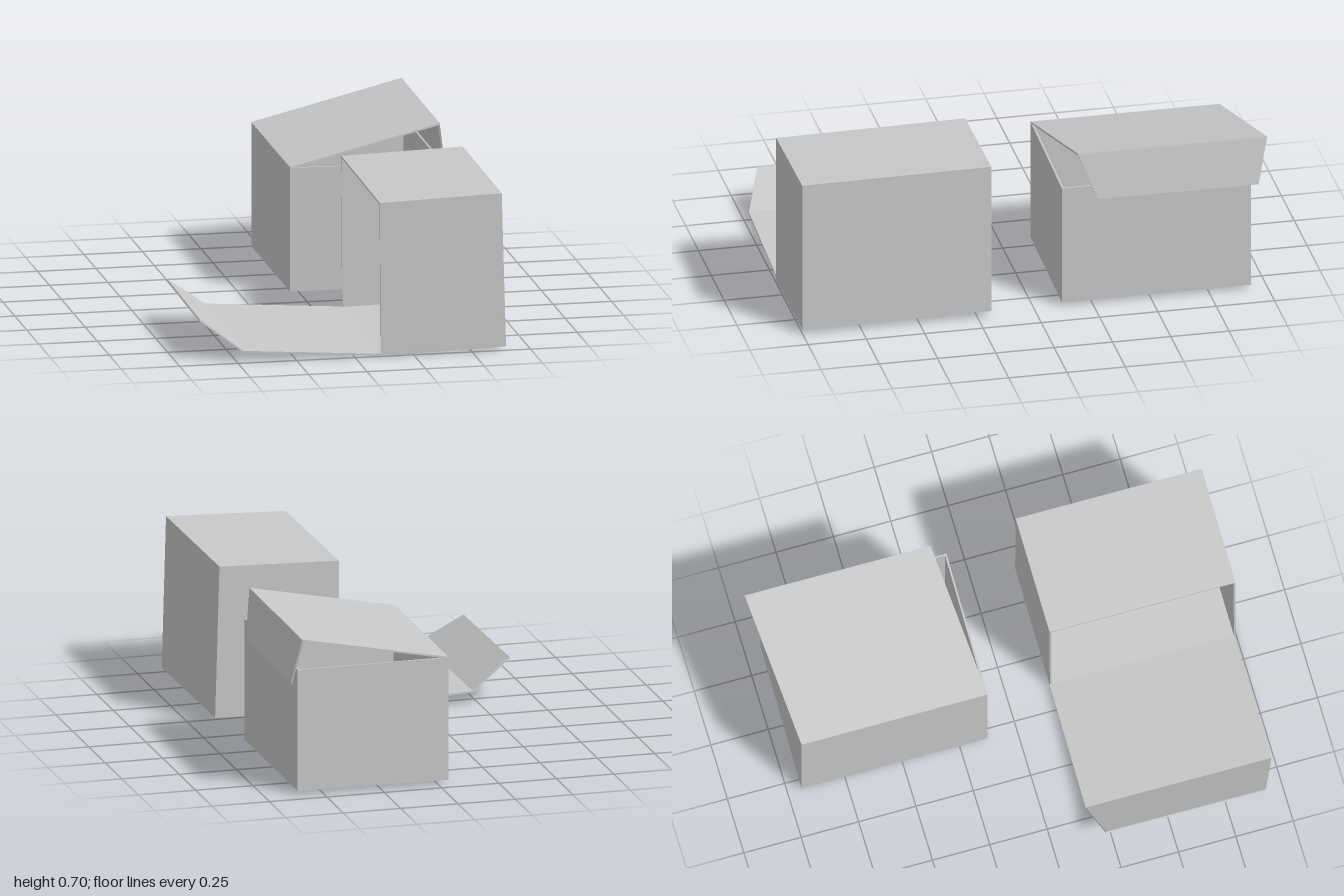
import * as THREE from 'three';

const cardboard = new THREE.MeshStandardMaterial({ color: 0xc8c8c8 });
cardboard.name = 'plain grey card';
const THICKNESS = 0.008;

// A thin sheet: four corners, counter-clockwise seen from outside, thickened inwards
function panel(name, corners) {
  const q = corners.map(c => new THREE.Vector3(...c));
  const normal = q[2].clone().sub(q[0]).cross(q[3].clone().sub(q[1])).normalize();
  const r = q.map(p => p.clone().addScaledVector(normal, -THICKNESS));
  const faces = [q, [...r].reverse()];
  for (let i = 0; i < 4; i++) {
    const j = (i + 1) % 4;
    faces.push([r[i], r[j], q[j], q[i]]);
  }
  const points = faces.flatMap(([a, b, c, d]) => [a, b, c, a, c, d]);
  const geometry = new THREE.BufferGeometry().setFromPoints(points);
  geometry.computeVertexNormals();
  const mesh = new THREE.Mesh(geometry, cardboard);
  mesh.name = name;
  return mesh;
}

// Corners run front left, front right, back right, back left: bottom first, then top
const SIDES = {
  frontWall: [0, 1, 5, 4],
  rightWall: [1, 2, 6, 5],
  backWall: [2, 3, 7, 6],
  leftWall: [3, 0, 4, 7],
  topWall: [4, 5, 6, 7],
  bottomWall: [3, 2, 1, 0],
};

function openBox(name, corners, openSide, flaps) {
  const box = new THREE.Group();
  box.name = name;
  for (const [side, ids] of Object.entries(SIDES)) {
    if (side !== openSide) box.add(panel(side, ids.map(i => corners[i])));
  }
  for (const [flap, quad] of Object.entries(flaps)) box.add(panel(flap, quad));
  return box;
}

export function createModel() {
  const model = new THREE.Group();
  model.name = 'openBoxes';

  // Box lying on its side, lid spread out over the ground
  const hinge = [[0.11, 0.013, 0.185], [0.11, 0.003, 0.99]];
  const fold = [[-0.475, 0.052, 0.175], [-0.475, 0.043, 0.985]];
  const tip = [[-0.648, 0.178, 0.215], [-0.648, 0.168, 0.91]];
  model.add(openBox('lyingBox', [
    [0.11, 0.002, 0.997], [0.645, 0.02, 1.0], [0.645, 0.027, 0.19], [0.11, 0.013, 0.187],
    [0.107, 0.662, 0.995], [0.627, 0.68, 0.998], [0.627, 0.686, 0.187], [0.107, 0.671, 0.185],
  ], 'leftWall', {
    lid: [fold[0], hinge[0], hinge[1], fold[1]],
    lidFlap: [tip[0], fold[0], fold[1], tip[1]],
  }));

  // Upright box with a half-closed, slightly twisted lid
  const free = [[0.605, 0.697, -0.19], [0.608, 0.697, -1.0]];
  model.add(openBox('uprightBox', [
    [-0.047, 0.017, -0.13], [0.607, 0.017, -0.12], [0.607, 0.017, -0.93], [-0.047, 0.017, -0.94],
    [-0.047, 0.55, -0.13], [0.607, 0.545, -0.12], [0.607, 0.545, -0.93], [-0.047, 0.55, -0.94],
  ], 'topWall', {
    lid: [[-0.047, 0.553, -0.13], free[0], free[1], [-0.047, 0.553, -0.94]],
    lidFlap: [[0.642, 0.497, -0.265], [0.645, 0.497, -0.955], free[1], free[0]],
  }));

  return model;
}
